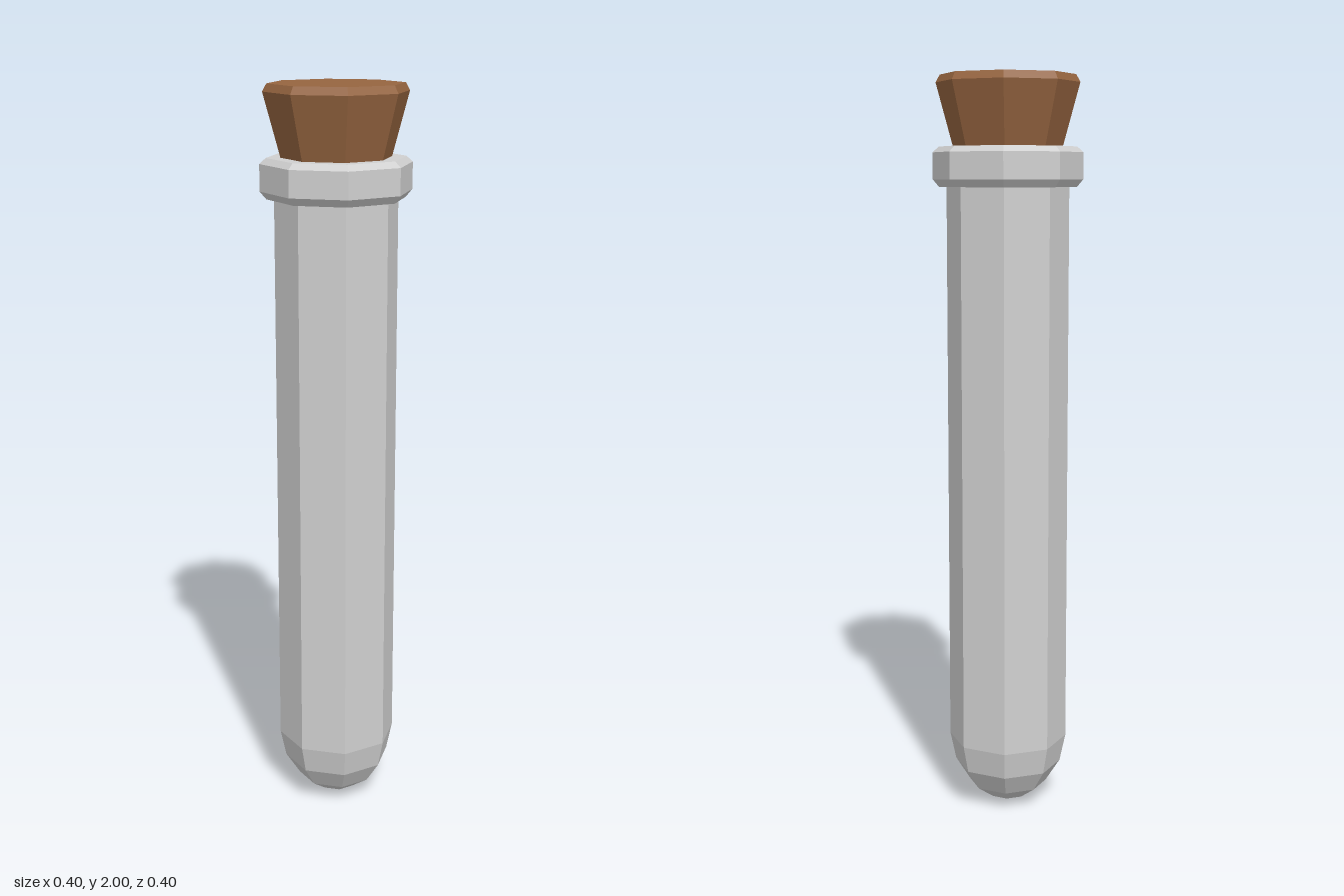
import * as THREE from 'three';

const SIDES = 8;
const TWIST = 0.095; // slight turn of the octagon about y

// Faceted solid of revolution from [radius, height] pairs, bottom to top
function turned(name, profile, material) {
  const points = profile.map(([r, y]) => new THREE.Vector2(r, y));
  const geometry = new THREE.LatheGeometry(points, SIDES, TWIST).toNonIndexed();
  geometry.computeVertexNormals();
  const mesh = new THREE.Mesh(geometry, material);
  mesh.name = name;
  return mesh;
}

export function createModel() {
  const glass = new THREE.MeshStandardMaterial({ color: 0xd0d0d0 });
  glass.name = 'pale grey glass';
  const cork = new THREE.MeshStandardMaterial({ color: 0x966540 });
  cork.name = 'brown cork';

  const model = new THREE.Group();
  model.name = 'corkedTestTube';

  // Long straight tube with a rounded bottom
  model.add(turned('tube', [
    [0, 0], [0.056, 0.013], [0.108, 0.05], [0.147, 0.11], [0.163, 0.185], [0.163, 1.72],
  ], glass));

  // Bevelled collar around the mouth
  model.add(turned('lip', [
    [0.155, 1.71], [0.183, 1.71], [0.2, 1.73], [0.2, 1.8], [0.183, 1.815], [0.135, 1.815],
  ], glass));

  // Tapered stopper with a bevelled top edge, seated inside the lip
  model.add(turned('stopper', [
    [0, 1.74], [0.125, 1.74], [0.19, 1.98], [0.179, 2], [0, 2],
  ], cork));

  return model;
}
